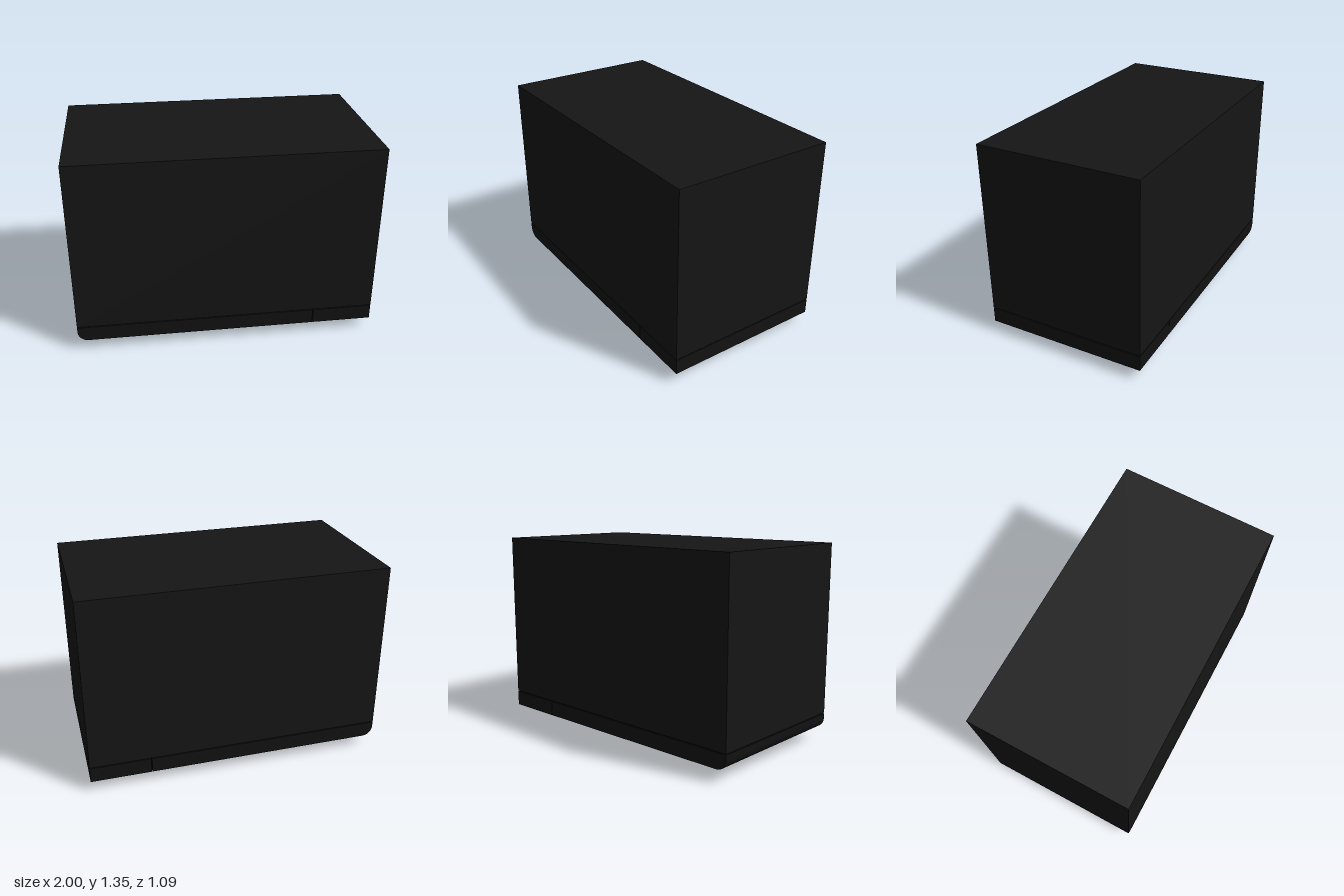
import * as THREE from 'three';

const mat = (color) => new THREE.MeshStandardMaterial({ color });

export function createModel() {
  const root = new THREE.Group();
  const shell = mat(0x151515), gloss = mat(0x121212), dark = mat(0x070707), pale = mat(0x888888);
  const D = 0.545, FACE = 0.08, TOP = 0.183;

  const add = (name, geometry, material, parent = root) => {
    const m = new THREE.Mesh(geometry, material);
    m.name = name;
    parent.add(m);
    return m;
  };
  // Box given by its two extreme corners
  const box = (name, a, b, material, parent) => {
    const g = new THREE.BoxGeometry(b[0] - a[0], b[1] - a[1], b[2] - a[2]);
    g.translate((a[0] + b[0]) / 2, (a[1] + b[1]) / 2, (a[2] + b[2]) / 2);
    return add(name, g, material, parent);
  };

  // Oven cabinet, lying on its face so the door points down
  box('cabinet', [-1, 0.189, -D], [1, 1.345, D], shell);
  box('seamFiller', [-0.985, 0.17, -D + 0.008], [0.992, 0.195, D - 0.008], dark);

  // Door frame: bars with a rounded outer edge around a recessed window
  const door = new THREE.Group();
  door.name = 'door';
  root.add(door);
  const WX0 = -0.87, WX1 = 0.37, WZ = 0.44, R = 0.07;
  const bar = (name, x1, z0, z1) => {
    const s = new THREE.Shape();
    s.moveTo(x1, FACE);
    s.lineTo(x1, TOP);
    s.lineTo(-1, TOP);
    s.lineTo(-1, FACE + R);
    s.absarc(-1 + R, FACE + R, R, Math.PI, Math.PI * 1.5, false);
    s.closePath();
    const g = new THREE.ExtrudeGeometry(s, { depth: z1 - z0, bevelEnabled: false, curveSegments: 12 });
    g.translate(0, 0, z0);
    add(name, g, gloss, door);
  };
  bar('doorSideBar', 0.592, WZ, D);
  bar('doorSideBar', 0.592, -D, -WZ);
  bar('doorOuterBar', WX0, -WZ, WZ);
  box('doorInnerBar', [WX1, FACE, -WZ], [0.592, TOP, WZ], gloss, door);
  box('windowPane', [WX0, FACE + 0.02, -WZ], [WX1, TOP, WZ], dark, door);

  // Bowed strip handle
  const handle = new THREE.Shape();
  const bow = (z) => 0.008 + 0.073 * (z / 0.38) ** 2;
  const N = 24;
  for (let i = 0; i <= N; i++) {
    const z = -0.38 + (0.76 * i) / N;
    if (i === 0) handle.moveTo(z, bow(z) - 0.008);
    else handle.lineTo(z, bow(z) - 0.008);
  }
  for (let i = N; i >= 0; i--) {
    const z = -0.38 + (0.76 * i) / N;
    handle.lineTo(z, bow(z));
  }
  handle.closePath();
  const hg = new THREE.ExtrudeGeometry(handle, { depth: 0.135, bevelEnabled: false });
  hg.rotateY(-Math.PI / 2);
  hg.translate(0.595, 0, 0);
  add('handle', hg, dark);

  // Control panel
  const panel = new THREE.Group();
  panel.name = 'controls';
  root.add(panel);
  box('controlPanel', [0.597, FACE, -D], [1, TOP, D], gloss, panel);

  // Dial with a slim base ring
  const knob = new THREE.LatheGeometry([
    [0, 0.025], [0.074, 0.025], [0.08, 0.028], [0.084, 0.07], [0.084, FACE + 0.002],
  ].map(([r, y]) => new THREE.Vector2(r, y)), 40);
  const dial = add('dial', knob, shell, panel);
  dial.material = shell.clone();
  dial.material.side = THREE.DoubleSide;
  dial.position.set(0.78, 0, -0.143);
  const ring = add('dialRing', new THREE.CylinderGeometry(0.092, 0.092, 0.006, 40), dark, panel);
  ring.position.set(0.78, FACE - 0.002, -0.143);

  // Round buttons, each with a small pale marker
  const button = (x, z) => {
    const b = add('button', new THREE.CylinderGeometry(0.017, 0.016, 0.012, 16), shell, panel);
    b.position.set(x, FACE - 0.005, z);
    const m = add('buttonMarker', new THREE.CylinderGeometry(0.006, 0.006, 0.002, 10), pale, panel);
    m.position.set(x, FACE - 0.0115, z);
  };
  for (const x of [0.655, 0.9]) for (const z of [0.26, 0.19, 0.12, 0.05]) button(x, z);
  for (const x of [0.7, 0.78, 0.86]) button(x, -0.395);
  for (const x of [0.7, 0.86]) button(x, -0.33);

  return root;
}
